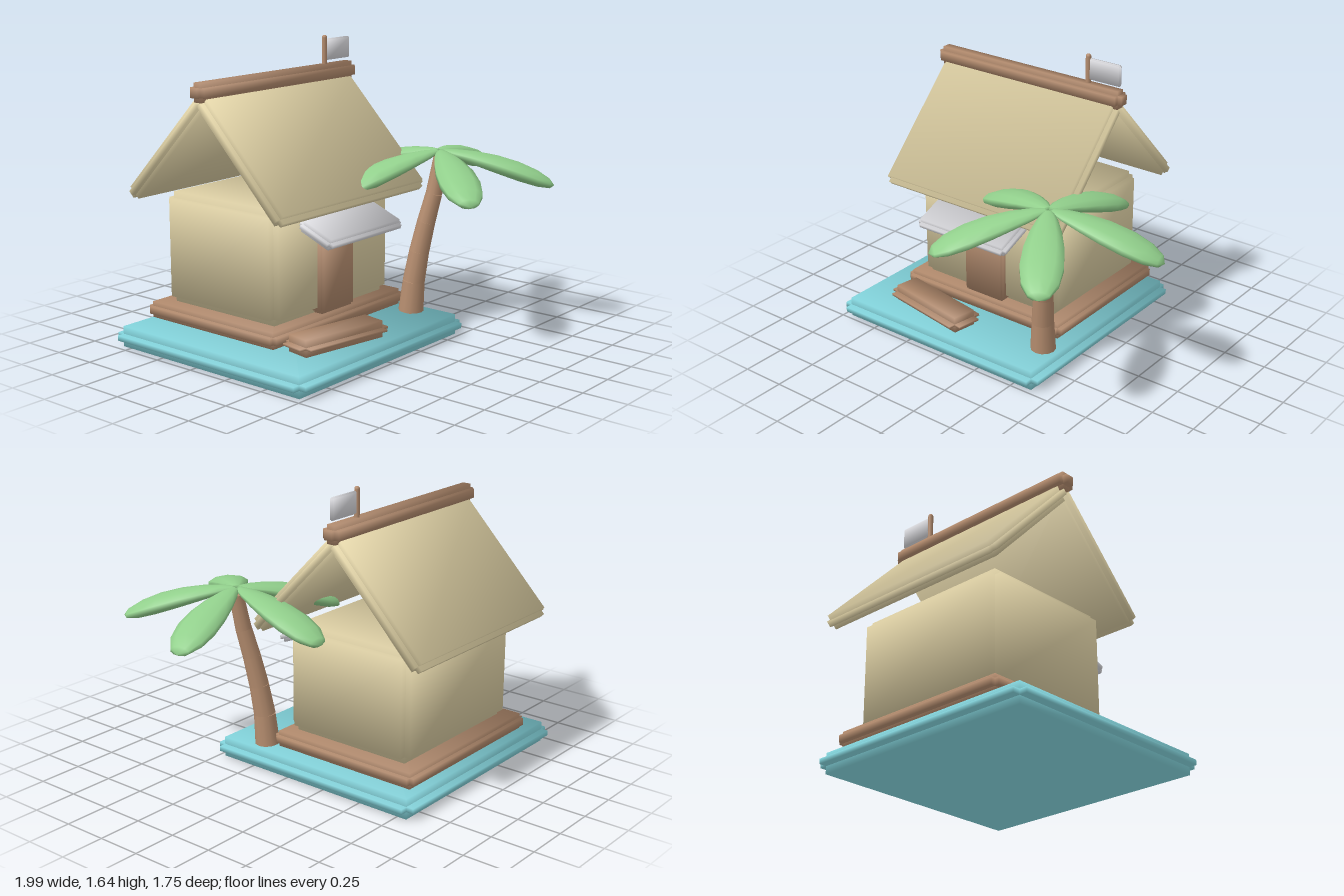
import * as THREE from 'three';
import { mergeGeometries, mergeVertices } from 'three/addons/utils/BufferGeometryUtils.js';

function mat(name, color) {
  const m = new THREE.MeshStandardMaterial({ color });
  m.name = name;
  return m;
}

// Box with square notches along every edge and soft, corner-facing normals.
function notchedBox(w, h, d, b) {
  const c = 2 * b;
  const boxes = [
    [w, h - c, d - c],
    [w - c, h, d - c],
    [w - c, h - c, d],
  ].map((s) => new THREE.BoxGeometry(...s));
  const g = mergeGeometries(boxes);
  const p = g.attributes.position;
  for (let i = 0; i < p.count; i++) {
    const n = new THREE.Vector3(Math.sign(p.getX(i)), Math.sign(p.getY(i)), Math.sign(p.getZ(i))).normalize();
    g.attributes.normal.setXYZ(i, n.x, n.y, n.z);
  }
  return g;
}

// Palm leaf: a sphere stretched along +x, narrow at the root and drooping at the tip.
function leafGeometry(length, halfWidth, halfThick) {
  const g = new THREE.SphereGeometry(1, 10, 8).rotateZ(-Math.PI / 2);
  g.deleteAttribute('uv');
  g.deleteAttribute('normal');
  const p = g.attributes.position;
  for (let i = 0; i < p.count; i++) {
    const u = (p.getX(i) + 1) / 2;
    const k = 0.5 + 0.6 * u;
    p.setXYZ(i, u * length, p.getY(i) * halfThick * k - 0.1 * u - 0.08 * u * u, p.getZ(i) * halfWidth * k);
  }
  const merged = mergeVertices(g, 1e-4);
  merged.computeVertexNormals();
  return merged;
}

export function createModel() {
  const model = new THREE.Group();
  model.name = 'beachHut';

  const water = mat('turquoise', 0x84d6de);
  const wood = mat('woodBrown', 0xb48c6e);
  const straw = mat('strawTan', 0xe0d2a6);
  const cloth = mat('paleGrey', 0xdcdce0);
  const green = mat('leafGreen', 0x92d08c);

  function add(name, geometry, material, x = 0, y = 0, z = 0, parent = model) {
    const m = new THREE.Mesh(geometry, material);
    m.name = name;
    m.position.set(x, y, z);
    parent.add(m);
    return m;
  }

  // Ground slab, foundation and walls
  add('base', notchedBox(1.41, 0.115, 1.36, 0.043), water, -0.295, 0.0575, -0.17);
  add('foundation', notchedBox(1.11, 0.09, 0.945, 0.025), wood, -0.24, 0.175, -0.322);
  add('walls', notchedBox(0.96, 0.62, 0.8, 0.036), straw, -0.237, 0.53, -0.31);

  // Loose step in front of the door
  const step = add('step', notchedBox(0.6, 0.092, 0.22, 0.04), wood, -0.46, 0.163, 0.29);
  step.rotation.y = -0.177;

  // Door and tilted awning
  add('door', notchedBox(0.275, 0.415, 0.09, 0.015), wood, -0.238, 0.428, 0.078);
  const awning = add('awning', notchedBox(0.62, 0.065, 0.24, 0.022), cloth, -0.24, 0.703, 0.212);
  awning.rotation.x = 0.38;

  // Two sloping roof panels meeting at the ridge beam
  for (const side of [1, -1]) {
    const panel = add(side > 0 ? 'frontRoof' : 'backRoof', notchedBox(1.215, 0.085, 0.8, 0.027), straw,
      -0.237, 1.1, -0.31 + side * 0.268);
    panel.rotation.x = side * 0.8;
  }
  add('ridgeBeam', notchedBox(1.265, 0.103, 0.103, 0.026), wood, -0.237, 1.43, -0.31);

  // Flag on the ridge
  add('flagPole', new THREE.CapsuleGeometry(0.015, 0.3, 4, 10), wood, 0.16, 1.48, -0.31);
  add('flag', notchedBox(0.2, 0.12, 0.022, 0.006), cloth, 0.271, 1.562, -0.31);

  // Palm tree
  const palm = new THREE.Group();
  palm.name = 'palmTree';
  model.add(palm);

  // Trunk joints: x, y, z, radius
  const joints = [
    [0.27, 0.115, 0.23, 0.071],
    [0.277, 0.29, 0.243, 0.062],
    [0.295, 0.46, 0.265, 0.056],
    [0.32, 0.63, 0.293, 0.051],
    [0.35, 0.79, 0.322, 0.046],
    [0.383, 0.99, 0.342, 0.041],
  ];
  const up = new THREE.Vector3(0, 1, 0);
  for (let i = 0; i < joints.length - 1; i++) {
    const a = new THREE.Vector3(...joints[i]);
    const b = new THREE.Vector3(...joints[i + 1]);
    const dir = b.clone().sub(a);
    const len = dir.length();
    const mid = a.clone().add(b).multiplyScalar(0.5);
    const seg = add('trunkSegment' + (i + 1),
      new THREE.CylinderGeometry(joints[i + 1][3], joints[i][3], len, 12),
      wood, mid.x, mid.y, mid.z, palm);
    seg.quaternion.setFromUnitVectors(up, dir.normalize());
  }

  // Five drooping leaves around the top
  const leaf = leafGeometry(0.63, 0.135, 0.06);
  for (let i = 0; i < 5; i++) {
    const l = add('leaf' + (i + 1), leaf, green, 0.383, 1.03, 0.337, palm);
    l.rotation.y = -THREE.MathUtils.degToRad(58 + 72 * i);
  }

  return model;
}
